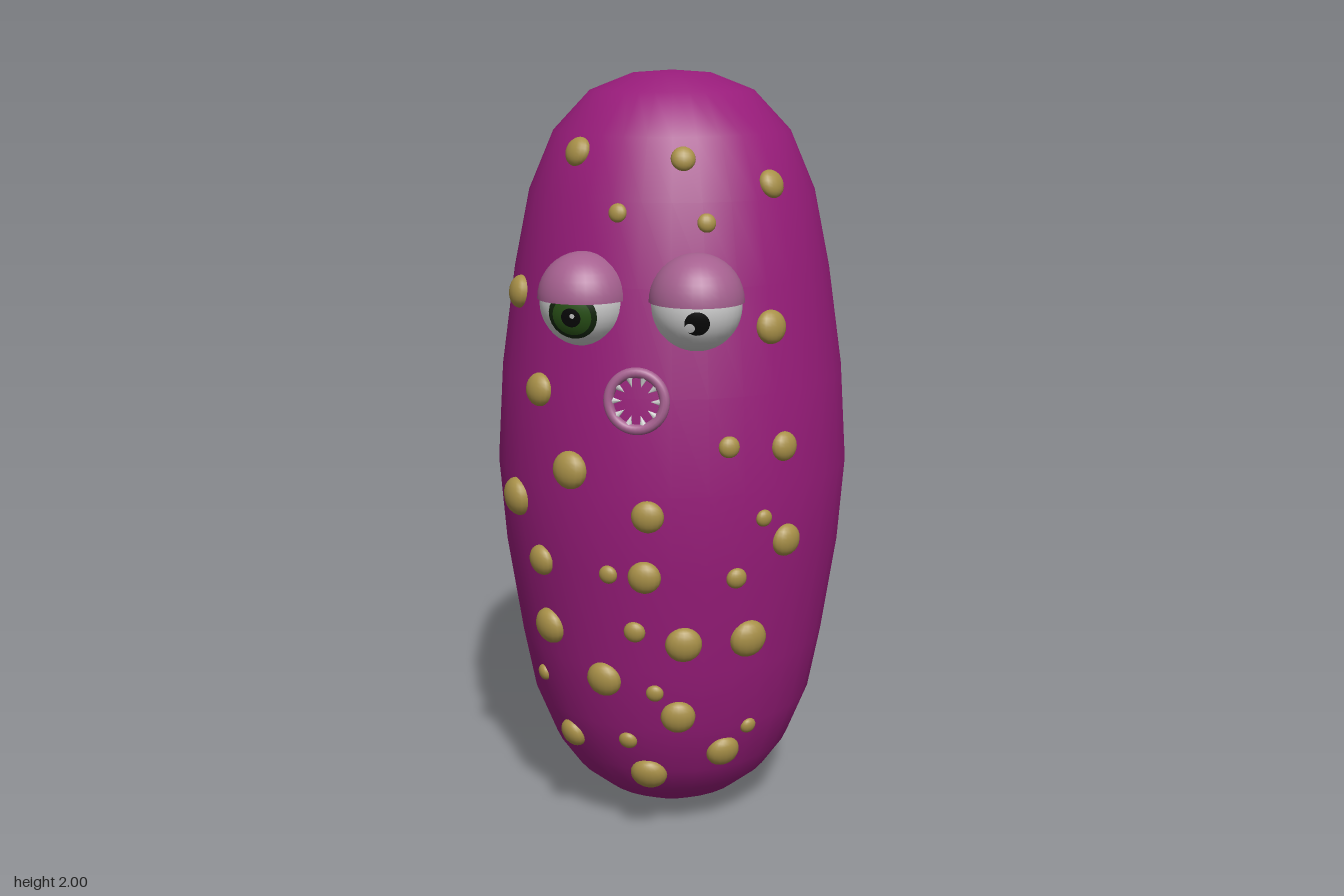
import * as THREE from 'three';

const CENTRE_Z = -0.02;
// Body outline as [radius, height]
const PROFILE = [
  [0, 0.005], [0.1, 0.018], [0.2, 0.07], [0.27, 0.13], [0.325, 0.21], [0.38, 0.35],
  [0.412, 0.52], [0.45, 0.78], [0.466, 1.0], [0.45, 1.24], [0.412, 1.5],
  [0.37, 1.7], [0.305, 1.85], [0.21, 1.95], [0.1, 1.993], [0, 2.0],
];

const material = (color, extra = {}) =>
  new THREE.MeshStandardMaterial({ color, ...extra });
const skin = material(0x981c7a);
const pink = material(0xa5608f, { side: THREE.DoubleSide });
const gold = material(0xa89048);
const white = material(0xd8d8d8, { side: THREE.DoubleSide });
const green = material(0x2a5218);
const darkGreen = material(0x14260e);
const black = material(0x080808);

function add(parent, name, geometry, mat) {
  const mesh = new THREE.Mesh(geometry, mat);
  mesh.name = name;
  parent.add(mesh);
  return mesh;
}

function radiusAt(y) {
  const i = Math.max(1, PROFILE.findIndex((p) => p[1] >= y));
  const [r0, y0] = PROFILE[i - 1], [r1, y1] = PROFILE[i];
  return r0 + ((r1 - r0) * (y - y0)) / (y1 - y0);
}

// Puts an object on the skin with its local z along the surface normal
function placeOnBody(object, x, y, back = false) {
  const r = radiusAt(y);
  const z = Math.sqrt(Math.max(0, r * r - x * x)) * (back ? -1 : 1);
  const slope = (radiusAt(y + 0.03) - radiusAt(y - 0.03)) / 0.06;
  const normal = new THREE.Vector3(x / r, -slope, z / r).normalize();
  object.position.set(x, y, z + CENTRE_Z);
  object.quaternion.setFromUnitVectors(new THREE.Vector3(0, 0, 1), normal);
}

// Round patch lying on an eyeball, centred on the direction of the offset (dx, dy)
function eyePatch(eye, name, ball, size, dx, dy, lift, mat) {
  const r = ball * lift;
  const patch = add(eye, name,
    new THREE.SphereGeometry(r, 24, 6, 0, Math.PI * 2, 0, Math.asin(size / r)), mat);
  const direction = new THREE.Vector3(dx, dy, Math.sqrt(r * r - dx * dx - dy * dy)).normalize();
  patch.quaternion.setFromUnitVectors(new THREE.Vector3(0, 1, 0), direction);
}

function makeEye(name, x, y, z, r) {
  const eye = new THREE.Group();
  eye.name = name;
  eye.position.set(x, y, z);
  add(eye, 'eyeball', new THREE.SphereGeometry(r, 32, 20), white);
  // Half-closed upper lid
  const lid = add(eye, 'eyelid',
    new THREE.SphereGeometry(r * 1.05, 32, 10, 0, Math.PI * 2, 0, Math.PI / 2), pink);
  lid.position.y = 0.01;
  return eye;
}

export function createModel() {
  const model = new THREE.Group();
  model.name = 'pickleCreature';

  // Body
  const points = PROFILE.map(([r, y]) => new THREE.Vector2(r, y));
  const body = add(model, 'body', new THREE.LatheGeometry(points, 32, Math.PI / 32), skin);
  body.position.z = CENTRE_Z;

  // Warts: x, y, radius
  const warts = [
    [-0.206, 1.81, 0.037], [0.058, 1.8, 0.03], [0.265, 1.735, 0.036],
    [-0.095, 1.675, 0.023], [0.118, 1.653, 0.023], [-0.365, 1.458, 0.042],
    [0.273, 1.4, 0.042], [-0.297, 1.235, 0.042], [0.18, 1.12, 0.027],
    [0.31, 1.105, 0.037], [-0.212, 1.05, 0.048], [-0.37, 0.94, 0.05],
    [-0.015, 0.95, 0.041], [0.265, 0.93, 0.022], [0.318, 0.86, 0.042],
    [-0.3, 0.79, 0.04], [-0.117, 0.79, 0.024], [-0.025, 0.79, 0.042],
    [0.2, 0.78, 0.027], [-0.285, 0.605, 0.048], [-0.053, 0.637, 0.028],
    [0.07, 0.605, 0.047], [0.228, 0.605, 0.05], [-0.137, 0.49, 0.047],
    [-0.005, 0.463, 0.023], [-0.317, 0.443, 0.022], [0.053, 0.394, 0.045],
  ];
  const lowWarts = [
    [0.228, 0.34, 0.022], [-0.238, 0.283, 0.04], [-0.08, 0.31, 0.025],
    [0.163, 0.27, 0.045], [-0.03, 0.2, 0.049],
  ];
  const wartGeometry = new THREE.SphereGeometry(1, 16, 12);
  for (const [x, y, r] of [...warts, ...lowWarts]) {
    const wart = add(model, 'wart', wartGeometry, gold);
    placeOnBody(wart, x, y);
    wart.scale.set(r, r, r * 0.65);
  }
  // A few barely raised warts on the back
  for (const [x, y] of [[-0.13, 1.64], [-0.28, 0.92], [-0.23, 0.33]]) {
    const wart = add(model, 'backWart', wartGeometry, gold);
    placeOnBody(wart, x, y, true);
    wart.scale.set(0.022, 0.022, 0.012);
  }

  // Right eye with a green iris
  const rightEye = makeEye('rightEye', -0.18, 1.46, 0.34, 0.107);
  eyePatch(rightEye, 'irisRim', 0.107, 0.06, -0.016, -0.023, 1.008, darkGreen);
  eyePatch(rightEye, 'iris', 0.107, 0.048, -0.016, -0.023, 1.016, green);
  eyePatch(rightEye, 'pupil', 0.107, 0.024, -0.016, -0.023, 1.03, black);
  eyePatch(rightEye, 'glint', 0.107, 0.006, -0.012, -0.018, 1.045, white);

  // Left eye with a small dark pupil
  const leftEye = makeEye('leftEye', 0.097, 1.46, 0.37, 0.11);
  eyePatch(leftEye, 'pupil', 0.11, 0.03, 0.01, -0.028, 1.01, black);
  eyePatch(leftEye, 'glint', 0.11, 0.012, -0.007, -0.037, 1.025, white);
  model.add(rightEye, leftEye);

  // Round mouth: lip ring with teeth pointing inwards
  const mouth = new THREE.Group();
  mouth.name = 'mouth';
  placeOnBody(mouth, -0.042, 1.235);
  add(mouth, 'lips', new THREE.TorusGeometry(0.069, 0.013, 12, 40), pink);
  const toothGeometry = new THREE.ConeGeometry(0.012, 0.034, 8);
  const teeth = 10;
  for (let i = 0; i < teeth; i++) {
    const a = (i / teeth) * Math.PI * 2;
    const tooth = add(mouth, 'tooth', toothGeometry, white);
    tooth.position.set(Math.cos(a) * 0.052, Math.sin(a) * 0.052, 0.003);
    tooth.rotation.z = a + Math.PI / 2;
    tooth.scale.z = 0.6;
  }
  model.add(mouth);

  return model;
}
